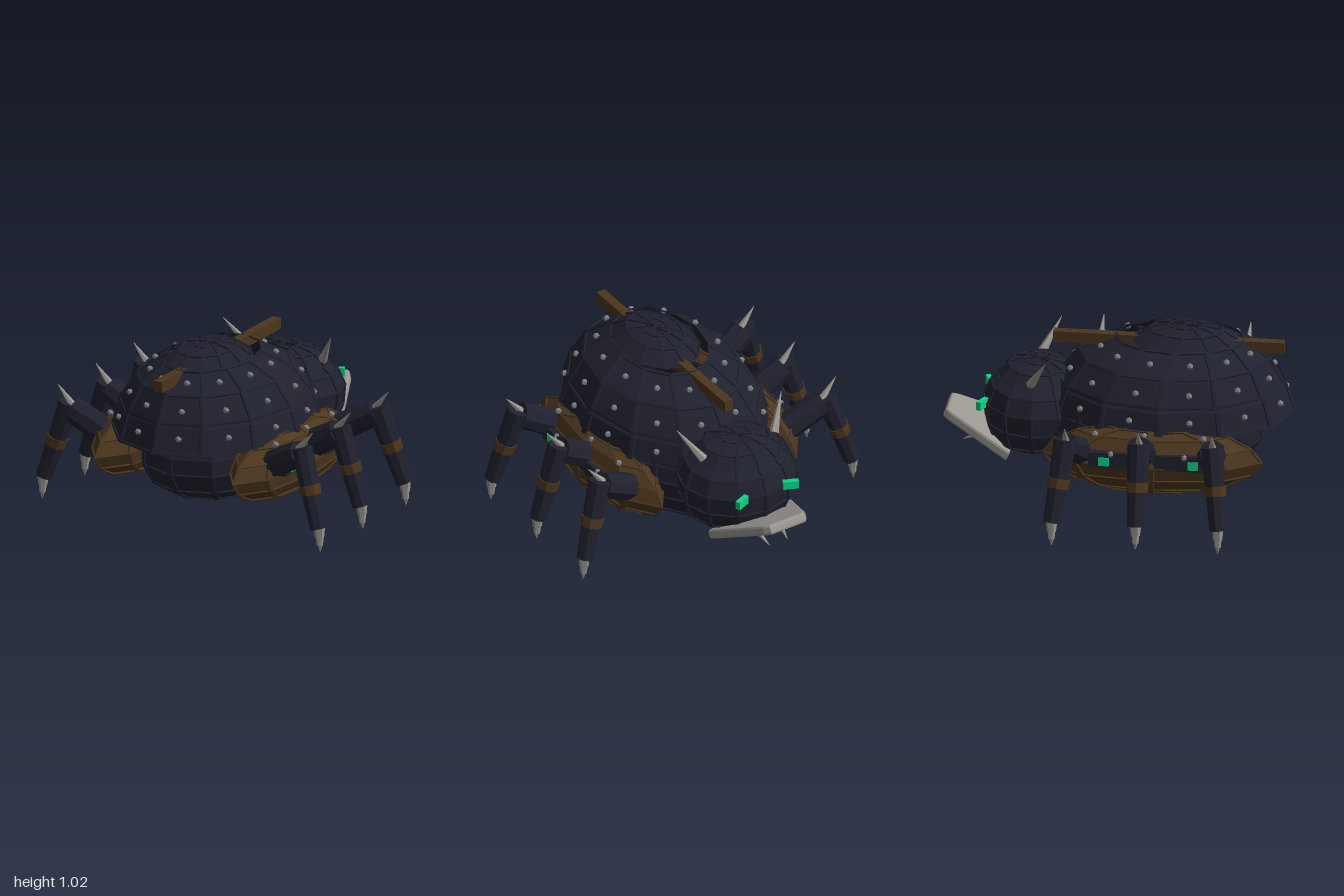
import * as THREE from 'three';

const mat = (name, color, side = THREE.FrontSide) => {
  const m = new THREE.MeshStandardMaterial({ color, flatShading: true, side });
  m.name = name;
  return m;
};
const V = (x, y, z) => new THREE.Vector3(x, y, z);

export function createModel() {
  const navy = mat('darkArmour', 0x20212e, THREE.DoubleSide);
  const brown = mat('bronze', 0x4c361d);
  const steel = mat('steel', 0x9a9790);
  const rivetGrey = mat('rivetGrey', 0x7c7d82);
  const green = mat('greenLight', 0x0ad884);

  const model = new THREE.Group();
  const add = (name, geo, material, parent = model) => {
    const mesh = new THREE.Mesh(geo, material);
    mesh.name = name;
    parent.add(mesh);
    return mesh;
  };

  // Skin of sunken panels framed by ribs, stretched over loops of points
  function panelled(loops, depth = 0.008, margin = 0.13) {
    const pos = [];
    const quad = (a, b, c, d) => [a, b, c, a, c, d].forEach(p => pos.push(p.x, p.y, p.z));
    for (let i = 0; i < loops.length - 1; i++) {
      const n = loops[i].length;
      for (let j = 0; j < n; j++) {
        const k = (j + 1) % n;
        const q = [loops[i][j], loops[i][k], loops[i + 1][k], loops[i + 1][j]];
        const mid = q.reduce((s, p) => s.add(p), V(0, 0, 0)).multiplyScalar(0.25);
        const normal = q[2].clone().sub(q[0]).cross(q[3].clone().sub(q[1])).normalize();
        const rim = q.map(p => p.clone().lerp(mid, margin));
        const floor = rim.map(p => p.clone().lerp(mid, 0.04).addScaledVector(normal, -depth));
        for (let s = 0; s < 4; s++) {
          const t = (s + 1) % 4;
          quad(q[s], q[t], rim[t], rim[s]);
          quad(rim[s], rim[t], floor[t], floor[s]);
        }
        quad(...floor);
      }
    }
    const geo = new THREE.BufferGeometry();
    geo.setAttribute('position', new THREE.Float32BufferAttribute(pos, 3));
    geo.computeVertexNormals();
    return geo;
  }

  // Horizontal oval loop: height, half width, z range
  const oval = ([y, rx, z0, z1], n = 12, cx = 0) => Array.from({ length: n }, (_, j) => {
    const a = j / n * Math.PI * 2;
    return V(cx + Math.sin(a) * rx, y, (z0 + z1) / 2 + Math.cos(a) * (z1 - z0) / 2);
  });

  // Tapered rod between two points
  function rod(name, a, b, r0, r1, material, parent, sides = 8) {
    const dir = b.clone().sub(a);
    const mesh = add(name, new THREE.CylinderGeometry(r1, r0, dir.length(), sides), material, parent);
    mesh.position.copy(a).lerp(b, 0.5);
    mesh.quaternion.setFromUnitVectors(V(0, 1, 0), dir.normalize());
    return mesh;
  }

  const rivet = new THREE.IcosahedronGeometry(0.02, 0);
  const addRivet = p => add('rivet', rivet, rivetGrey).position.copy(p);

  // Back shell: overlapping tiers
  const tiers = [
    [[0.53, 0.42, -0.3, 0.8], [0.52, 0.555, -0.44, 1.0], [0.70, 0.505, -0.38, 0.94]],
    [[0.665, 0.522, -0.39, 0.945], [0.84, 0.405, -0.25, 0.85]],
    [[0.83, 0.42, -0.25, 0.85], [0.94, 0.25, -0.03, 0.70]],
    [[0.92, 0.235, 0.05, 0.70], [0.99, 0.15, 0.16, 0.58], [1.012, 0.07, 0.27, 0.47], [1.015, 0.001, 0.369, 0.371]],
  ];
  tiers.forEach((t, i) => {
    const loops = t.map(r => oval(r));
    add('shellTier' + (i + 1), panelled(loops), navy);
    if (i === 3) return;
    const [lo, hi] = loops.slice(-2);
    for (let j = 0; j < 12; j++) {
      const k = (j + 1) % 12;
      addRivet(lo[j].clone().add(lo[k]).add(hi[j]).add(hi[k]).multiplyScalar(0.25));
    }
  });

  // Ridge bar through the top of the shell
  add('ridgeBar', new THREE.BoxGeometry(0.055, 0.065, 1.32), brown).position.set(0, 0.903, 0.27);

  // Belly
  const belly = [[0.09, 0], [0.108, 0.42], [0.145, 0.72], [0.21, 0.88], [0.33, 0.99], [0.43, 1], [0.56, 0.95]];
  add('belly', panelled(belly.map(([y, f]) =>
    oval([y, 0.46 * f + 0.001, 0.12 - 0.67 * f, 0.12 + 0.69 * f]))), navy);

  // Head hull and helmet
  const headLoop = ([y, f]) => oval([y, 0.36 * f + 0.001, -0.47 - 0.325 * f, -0.47 + 0.32 * f]);
  const headParts = {
    headHull: [[0.23, 0], [0.235, 0.5], [0.30, 0.86], [0.40, 0.97], [0.52, 1], [0.62, 0.87], [0.69, 0.57]],
    helmetTop: [[0.662, 0.76], [0.73, 0.55], [0.757, 0.25], [0.762, 0]],
  };
  for (const [name, rings] of Object.entries(headParts)) add(name, panelled(rings.map(headLoop)), navy);

  // Jaw plate: bevelled trapezoid tilted forward and up
  const jawShape = new THREE.Shape([[-0.265, 0], [0.265, 0], [0.13, 0.37], [0.11, 0.4], [-0.11, 0.4], [-0.13, 0.37]]
    .map(p => new THREE.Vector2(...p)));
  const jaw = add('jawPlate', new THREE.ExtrudeGeometry(jawShape, {
    depth: 0.03, bevelEnabled: true, bevelThickness: 0.015, bevelSize: 0.015, bevelSegments: 2,
  }), steel);
  jaw.rotation.x = -1.115;
  jaw.position.set(0, 0.247, -0.632);

  for (const s of [1, -1]) {
    const side = new THREE.Group();
    side.name = s > 0 ? 'leftSide' : 'rightSide';
    model.add(side);

    // Side pod: eight-sided hull with its corners at the two ends
    const pod = [[0.185, 0], [0.187, 0.42], [0.22, 0.68], [0.29, 0.9], [0.375, 1],
      [0.46, 0.9], [0.53, 0.68], [0.563, 0.42], [0.565, 0]];
    add('sidePod', panelled(pod.map(([y, f]) =>
      oval([y, 0.186 * f + 0.001, 0.235 - 0.635 * f, 0.235 + 0.635 * f], 8, s * 0.455))), brown, side);

    // Dark strip along the pod with lights and rivets
    add('podStrip', new THREE.BoxGeometry(0.05, 0.09, 0.68), navy, side).position.set(s * 0.605, 0.415, 0.23);
    for (const z of [-0.02, 0.49])
      add('sideLight', new THREE.BoxGeometry(0.02, 0.05, 0.06), green, side).position.set(s * 0.626, 0.407, z);
    for (const z of [0.02, 0.44]) addRivet(V(s * 0.622, 0.45, z));
    for (const z of [-0.08, 0.2, 0.54]) addRivet(V(s * 0.545, 0.54, z));

    // Eye and horn
    const eye = add('eye', new THREE.BoxGeometry(0.09, 0.05, 0.03), green, side);
    eye.position.set(s * 0.165, 0.525, -0.775);
    eye.rotation.y = s * 0.4;
    rod('horn', V(s * 0.24, 0.69, -0.49), V(s * 0.355, 0.87, -0.39), 0.028, 0.002, steel, side, 6);

    // Fang under the jaw plate
    rod('fang', V(s * 0.08, 0.32, -0.75), V(s * 0.06, 0.26, -0.9), 0.024, 0.002, steel, side, 6);

    // Legs: hip, knee and foot depth
    for (const [hz, kz, fz] of [[-0.17, -0.22, -0.28], [0.2, 0.2, 0.2], [0.58, 0.62, 0.67]]) {
      const leg = new THREE.Group();
      leg.name = 'leg';
      side.add(leg);
      const knee = V(s * 0.765, 0.585, kz), ankle = V(s * 0.905, 0.135, fz);
      const at = t => knee.clone().lerp(ankle, t);
      rod('upperLeg', V(s * 0.54, 0.43, hz), V(s * 0.755, 0.55, kz), 0.082, 0.076, navy, leg);
      rod('lowerLeg', knee, ankle, 0.066, 0.049, navy, leg);
      rod('legBand', at(0.46), at(0.58), 0.065, 0.062, brown, leg);
      rod('kneeSpike', V(s * 0.735, 0.56, kz), V(s * 0.84, 0.685, kz + 0.005), 0.026, 0.002, steel, leg, 6);
      const toe = [[0.15, 0.034], [0.09, 0.026], [0.085, 0.022], [0.045, 0.018], [0.04, 0.014], [0, 0.002]];
      for (let i = 0; i < 6; i += 2) {
        const point = y => V(s * (0.917 - y * 0.05), y, fz);
        rod('claw', point(toe[i][0]), point(toe[i + 1][0] - (i < 4 ? 0.006 : 0)), toe[i][1], toe[i + 1][1], steel, leg, 6);
      }
    }
  }
  return model;
}
